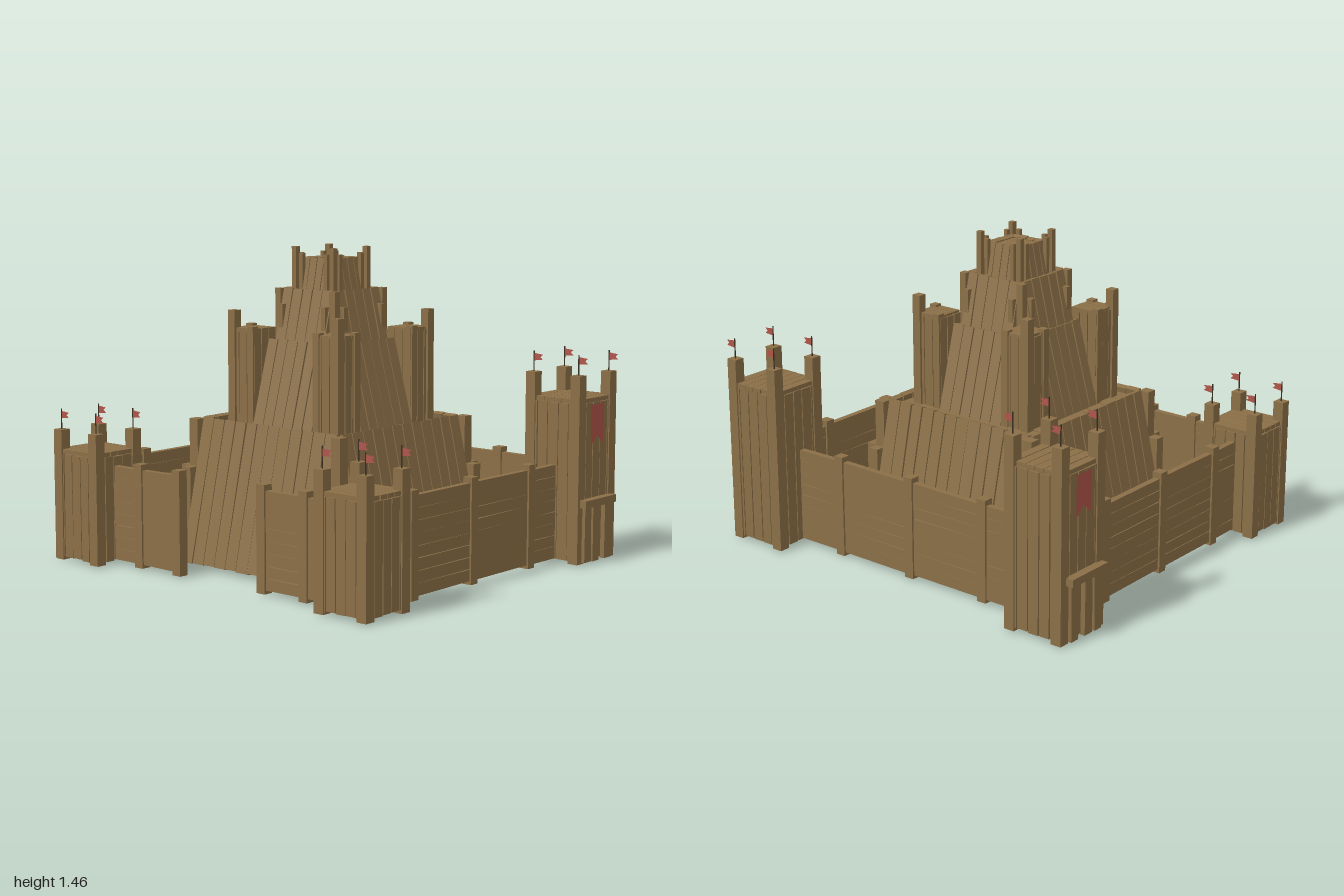
import * as THREE from 'three';
import { mergeGeometries } from 'three/addons/utils/BufferGeometryUtils.js';

const wood = new THREE.MeshStandardMaterial({ color: 0x8b6f47, flatShading: true });
const cloth = new THREE.MeshStandardMaterial({ color: 0xb0554a, side: THREE.DoubleSide });
const iron = new THREE.MeshStandardMaterial({ color: 0x3c3226 });

const V = (x, y, z) => new THREE.Vector3(x, y, z);

export function createModel() {
  // Small seeded generator so the planks are unevenly cut
  let seed = 7;
  const rnd = () => (seed = (seed * 16807) % 2147483647) / 2147483647;

  const root = new THREE.Group();
  root.name = 'woodenFort';

  const add = (parent, name, parts, material = wood) => {
    const mesh = new THREE.Mesh(mergeGeometries(parts), material);
    mesh.name = name;
    parent.add(mesh);
    return mesh;
  };
  const group = (parent, name) => {
    const g = new THREE.Group();
    g.name = name;
    parent.add(g);
    return g;
  };
  const box = (w, h, d, x, y, z) => new THREE.BoxGeometry(w, h, d).translate(x, y, z);
  // Square post standing between two heights
  const post = (x, z, y0, y1, s) => box(s, y1 - y0, s, x, (y0 + y1) / 2, z);

  // Rough plank from a to b; each end is narrowed by its own amount
  const plank = (a, b, side, width, thick) => {
    const dir = b.clone().sub(a);
    const len = dir.length();
    dir.normalize();
    const g = new THREE.BoxGeometry(width, len, thick);
    const p = g.attributes.position;
    const ends = [0.84 + rnd() * 0.16, 0.84 + rnd() * 0.16];
    const trim = [rnd() * 0.008, rnd() * 0.004];
    for (let i = 0; i < p.count; i++) {
      const top = p.getY(i) > 0 ? 1 : 0;
      p.setX(i, p.getX(i) * ends[top]);
      p.setY(i, p.getY(i) + (top ? -trim[1] : trim[0]));
    }
    const m = new THREE.Matrix4().makeBasis(side, dir, side.clone().cross(dir));
    return g.applyMatrix4(m.setPosition(a.clone().add(b).multiplyScalar(0.5)));
  };

  // Flat deck of parallel planks
  const deck = (x0, x1, z0, z1, y, n, alongX) => {
    const parts = [];
    for (let i = 0; i < n; i++) {
      const t = (i + 0.5) / n;
      const x = x0 + (x1 - x0) * t, z = z0 + (z1 - z0) * t;
      parts.push(alongX
        ? plank(V(x0, y, z), V(x1, y, z), V(0, 0, 1), (z1 - z0) / n, 0.02)
        : plank(V(x, y, z0), V(x, y, z1), V(1, 0, 0), (x1 - x0) / n, 0.02));
    }
    return parts;
  };

  // Four vertical plank sides around a rectangle
  const casing = (x0, x1, z0, z1, y0, y1, n) => {
    const parts = [];
    for (let i = 0; i < n; i++) {
      const t = (i + 0.5) / n;
      const x = x0 + (x1 - x0) * t, z = z0 + (z1 - z0) * t;
      for (const e of [z0 + 0.012, z1 - 0.012])
        parts.push(plank(V(x, y0, e), V(x, y1, e), V(1, 0, 0), (x1 - x0) / n, 0.024));
      for (const e of [x0 + 0.012, x1 - 0.012])
        parts.push(plank(V(e, y0, z), V(e, y1, z), V(0, 0, 1), (z1 - z0) / n, 0.024));
    }
    return parts;
  };

  // Stepped keep
  const keep = group(root, 'keep');
  keep.position.z = 0.022;
  const tier = (name, n, half, y0, r0, y1, r1, floorHalf, floorY) => {
    const g = group(keep, name);
    for (let s = 0; s < 4; s++) {
      const parts = [], w = (2 * half) / n;
      for (let i = 0; i < n; i++) {
        const x = -half + (i + 0.5) * w;
        parts.push(plank(V(x, y0, r0 - 0.015), V(x, y1, r1 - 0.015), V(1, 0, 0), w, 0.03));
      }
      add(g, 'slopingPlanks', parts).rotation.y = s * Math.PI / 2;
    }
    add(g, 'floorPlanks', deck(-floorHalf, floorHalf, -floorHalf, floorHalf, floorY, 8, true));
    return g;
  };
  const tiers = [
    tier('lowerTier', 12, 0.41, 0.015, 0.575, 0.675, 0.425, 0.39, 0.64),
    tier('middleTier', 6, 0.18, 0.62, 0.345, 1.04, 0.23, 0.22, 1.02),
    tier('upperTier', 5, 0.15, 1.02, 0.22, 1.27, 0.16, 0.14, 1.24),
    tier('topTier', 4, 0.085, 1.24, 0.13, 1.41, 0.095, 0.09, 1.39),
  ];
  for (const sx of [-1, 1]) for (const sz of [-1, 1]) {
    // Corner posts: x, z, bottom, top, size, for each tier
    const corners = [
      [[0.435, 0.44, 0, 0.67, 0.052], [0.49, 0.44, 0, 0.45, 0.05], [0.435, 0.49, 0, 0.45, 0.05]],
      [[0.315, 0.315, 0.6, 1.17, 0.042], [0.315, 0.2, 0.6, 1.1, 0.036], [0.2, 0.315, 0.6, 1.1, 0.036]],
      [[0.165, 0.165, 1.0, 1.27, 0.034], [0.19, 0.13, 1.0, 1.2, 0.026], [0.13, 0.19, 1.0, 1.2, 0.026]],
      [[0.115, 0.115, 1.2, 1.46, 0.026], [0.115, 0.075, 1.2, 1.43, 0.02], [0.075, 0.115, 1.2, 1.43, 0.02]],
    ];
    corners.forEach((list, i) => add(tiers[i], 'cornerPosts',
      list.map(([x, z, y0, y1, s]) => post(sx * x, sz * z, y0, y1, s))));
    // Corner turret of the middle tier
    const [xa, xb] = [sx * 0.18, sx * 0.325].sort((a, b) => a - b);
    const [za, zb] = [sz * 0.18, sz * 0.325].sort((a, b) => a - b);
    add(tiers[1], 'turret', [...casing(xa, xb, za, zb, 0.6, 1.08, 3),
      ...deck(xa, xb, za, zb, 1.08, 3, true)]);
  }

  // Flag with a notched tail on a thin pole
  const flag = (parent, x, y, z) => {
    const g = group(parent, 'flag');
    add(g, 'flagPole', [new THREE.CylinderGeometry(0.003, 0.003, 0.1, 6).translate(0, 0.045, 0)], iron);
    const s = new THREE.Shape([[0, 0.05], [0.05, 0.055], [0.036, 0.068], [0.05, 0.08], [0, 0.085]]
      .map(([a, b]) => new THREE.Vector2(a, b)));
    add(g, 'flagCloth', [new THREE.ShapeGeometry(s)], cloth);
    g.position.set(x, y, z);
  };

  // Square corner tower with four posts and flags
  const tower = (name, sx, xIn, xOut, z0, z1, deckY, postY, alongX) => {
    const g = group(root, name);
    const [x0, x1] = [sx * xIn, sx * xOut].sort((a, b) => a - b);
    add(g, 'towerWalls', casing(x0, x1, z0, z1, 0.015, deckY, 5));
    add(g, 'towerDeck', deck(x0, x1, z0, z1, deckY + 0.01, 6, alongX));
    const posts = [];
    for (const x of [x0 + 0.02, x1 - 0.02]) for (const z of [z0 + 0.02, z1 - 0.02]) {
      posts.push(post(x, z, 0.005, postY, 0.052));
      flag(g, x, postY, z);
    }
    add(g, 'towerPosts', posts);
    return g;
  };

  for (const sx of [-1, 1]) {
    const side = sx > 0 ? 'left' : 'right';
    tower(side + 'FrontTower', sx, 0.67, 0.945, 0.61, 0.88, 0.505, 0.615, true);
    const back = tower(side + 'BackTower', sx, 0.67, 0.96, -0.88, -0.595, 0.75, 0.88, false);

    // Hanging banner on the outer face
    const s = new THREE.Shape([[-0.05, 0.74], [-0.05, 0.55], [0, 0.595], [0.05, 0.55], [0.05, 0.74]]
      .map(([a, b]) => new THREE.Vector2(a, b)));
    const banner = add(back, 'banner', [new THREE.ShapeGeometry(s)], cloth);
    banner.position.set(sx * 0.966, 0, -0.735);
    banner.rotation.y = sx * Math.PI / 2;

    // Counter shelf with uprights beneath
    const shelf = [box(0.045, 0.035, 0.245, sx * 0.9775, 0.288, -0.728)];
    for (const z of [-0.81, -0.715, -0.65])
      shelf.push(plank(V(sx * 0.97, 0.005, z), V(sx * 0.97, 0.28, z), V(0, 0, 1), 0.055, 0.025));
    add(back, 'counterShelf', shelf);
  }

  // Palisade wall: horizontal boards between posts, built along local x
  const wall = (name, x0, x1, postXs) => {
    const g = group(root, name);
    const stops = [...new Set([x0, ...postXs, x1])].sort((a, b) => a - b);
    const boards = [], rows = 8, h = 0.44 / rows;
    for (let k = 0; k + 1 < stops.length; k++)
      for (let r = 0; r < rows; r++) {
        const y = 0.02 + (r + 0.5) * h;
        boards.push(plank(V(stops[k] - 0.006, y, 0), V(stops[k + 1] + 0.006, y, 0), V(0, 1, 0), h * 1.06, 0.03));
      }
    add(g, 'wallBoards', boards);
    add(g, 'wallPosts', postXs.map((x) => post(x, 0, 0.005, 0.485, 0.048)));
    return g;
  };
  wall('backWall', -0.67, 0.67, [-0.42, 0, 0.42]).position.z = -0.72;
  for (const sx of [-1, 1]) {
    const side = sx > 0 ? 'left' : 'right';
    const sideWall = wall(side + 'SideWall', -0.61, 0.6, [-0.44, -0.025, 0.4]);
    sideWall.rotation.y = Math.PI / 2;
    sideWall.position.x = sx * 0.82;
    const ends = sx > 0 ? [0.26, 0.67] : [-0.67, -0.26];
    wall(side + 'FrontWall', ...ends, [sx * 0.26, sx * 0.505]).position.z = 0.755;
  }
  return root;
}
